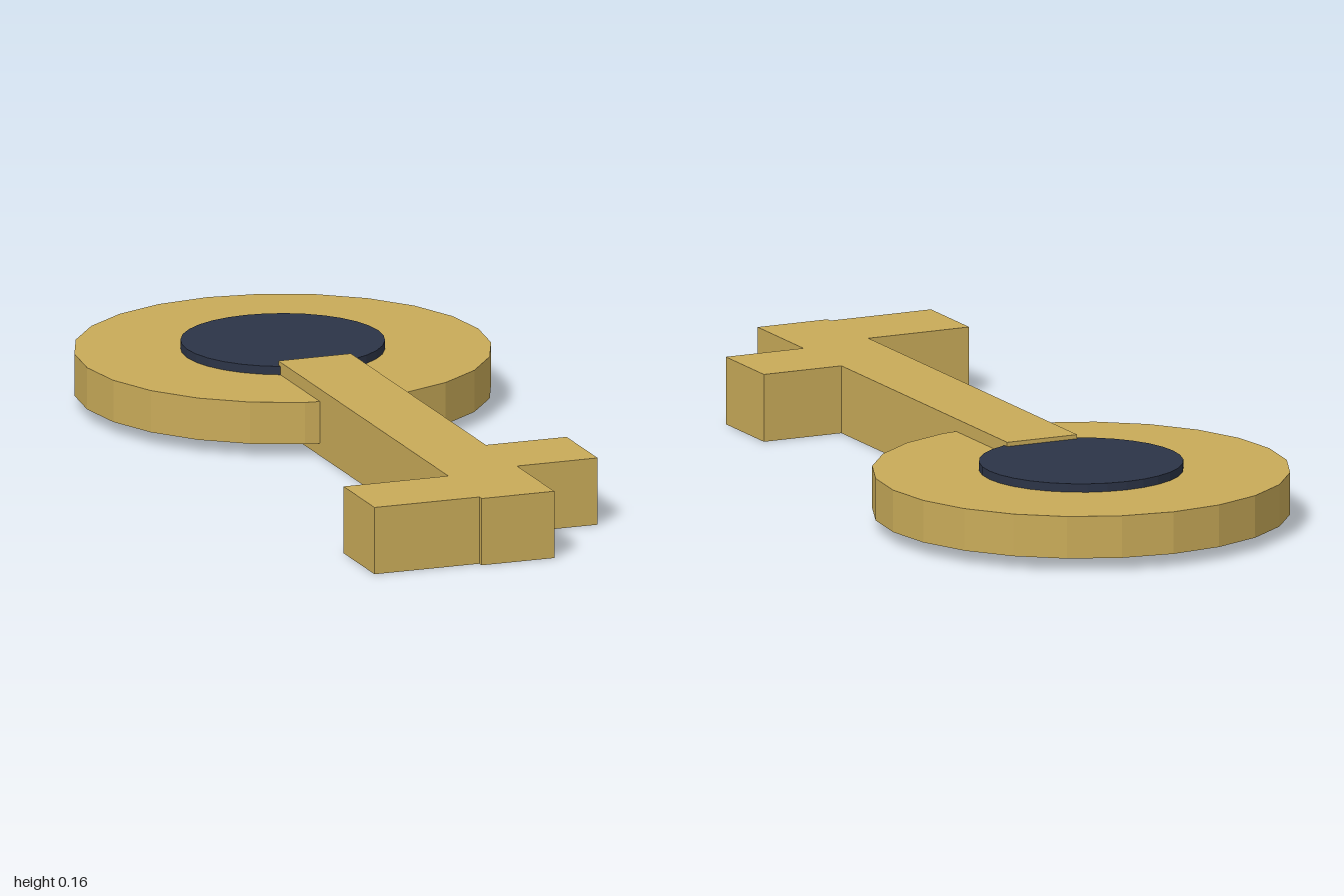
import * as THREE from 'three';

export function createModel() {
  const gold = new THREE.MeshStandardMaterial({ color: 0xc9ab59, flatShading: true });
  gold.name = 'gold';
  const navy = new THREE.MeshStandardMaterial({ color: 0x2c3447, flatShading: true });
  navy.name = 'navy';

  const key = new THREE.Group();
  key.name = 'key';

  // Upright disc centred on the bow of the key
  const addDisc = (name, radius, bottom, top, sides, material) => {
    const disc = new THREE.Mesh(new THREE.CylinderGeometry(radius, radius, top - bottom, sides), material);
    disc.name = name;
    disc.position.set(0, (bottom + top) / 2, -0.515);
    key.add(disc);
  };
  addDisc('bow', 0.485, 0.03, 0.13, 24, gold);
  addDisc('bowInset', 0.237, 0.13, 0.15, 32, navy);

  // Shaft and its two teeth, one outline in (x, z)
  const outline = [
    [-0.09, -0.31], [-0.09, 0.785], [-0.35, 0.785], [-0.35, 0.985], [-0.09, 0.985], [-0.09, 1],
    [0.09, 1], [0.09, 0.76], [0.29, 0.76], [0.29, 0.56], [0.09, 0.56], [0.09, -0.31],
  ];
  const shape = new THREE.Shape(outline.map(([x, z]) => new THREE.Vector2(x, -z)));
  const geometry = new THREE.ExtrudeGeometry(shape, { depth: 0.16, bevelEnabled: false });
  geometry.rotateX(-Math.PI / 2);
  const shaft = new THREE.Mesh(geometry, gold);
  shaft.name = 'shaftAndTeeth';
  key.add(shaft);

  return key;
}
